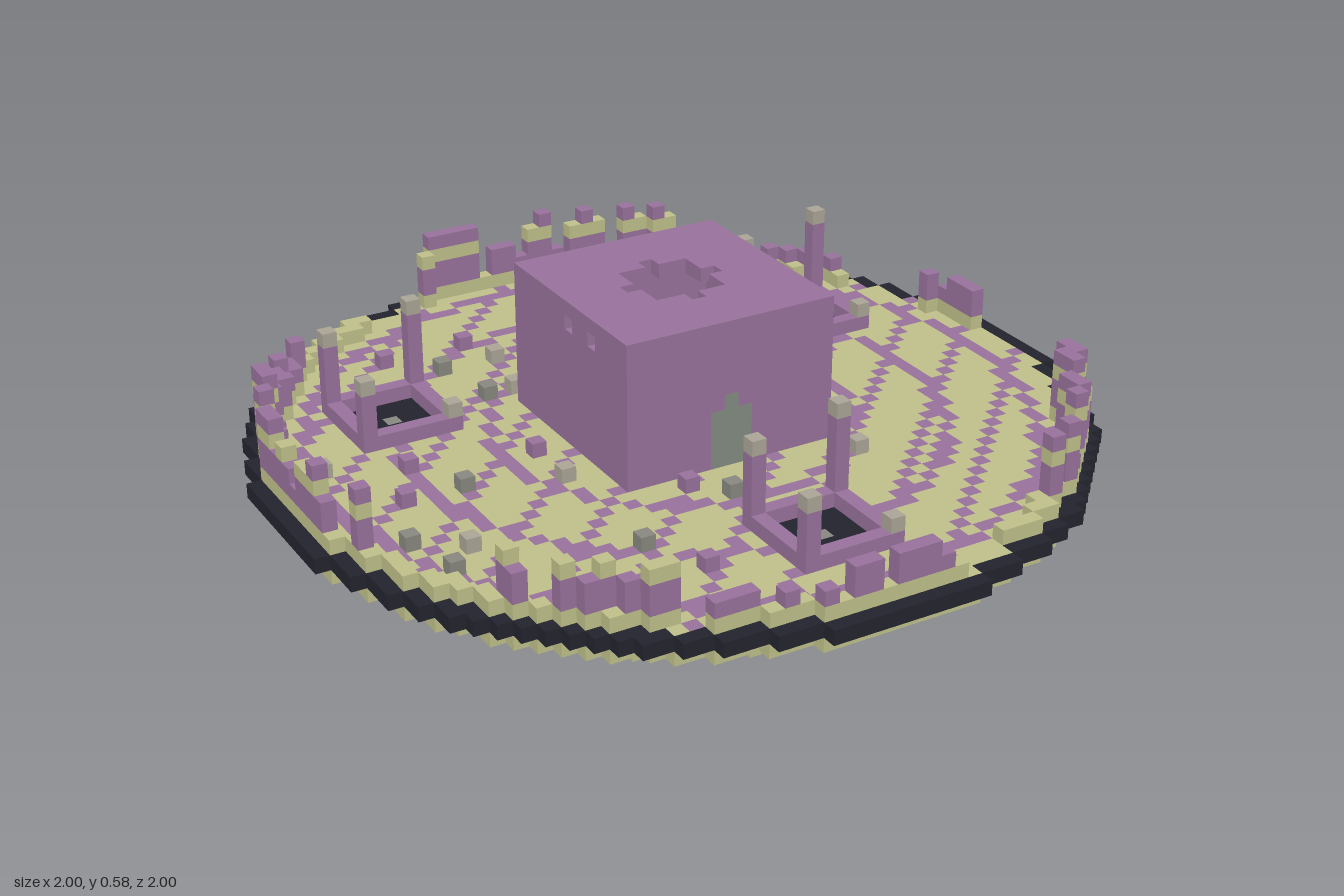
import * as THREE from 'three';

const S = 2 / 55; // size of one block

const material = (name, color) => {
  const m = new THREE.MeshStandardMaterial({ color });
  m.name = name;
  return m;
};

// The six faces of a block: normal and four corners, counter-clockwise from outside
const FACES = [
  [[1, 0, 0], [[1, 0, 1], [1, 0, 0], [1, 1, 0], [1, 1, 1]]],
  [[-1, 0, 0], [[0, 0, 0], [0, 0, 1], [0, 1, 1], [0, 1, 0]]],
  [[0, 1, 0], [[0, 1, 1], [1, 1, 1], [1, 1, 0], [0, 1, 0]]],
  [[0, -1, 0], [[0, 0, 0], [1, 0, 0], [1, 0, 1], [0, 0, 1]]],
  [[0, 0, 1], [[0, 0, 1], [1, 0, 1], [1, 1, 1], [0, 1, 1]]],
  [[0, 0, -1], [[1, 0, 0], [0, 0, 0], [0, 1, 0], [1, 1, 0]]],
];

export function createModel() {
  const mats = {
    sand: material('sandStone', 0xbdbf88),
    purple: material('purpleStone', 0x97709a),
    dark: material('darkStone', 0x22232d),
    pink: material('pinkInlay', 0xb55fae),
    grey: material('greyRubble', 0x87877f),
    tan: material('paleCap', 0xaaa496),
    door: material('doorStone', 0x828a80),
  };
  let seed = 7;
  const random = () => (seed = (seed * 16807) % 2147483647) / 2147483647;

  // Block grid: each cell remembers its part and colour
  const cells = new Map();
  const key = (x, y, z) => `${x},${y},${z}`;
  const put = (x, y, z, part, mat) => cells.set(key(x, y, z), { x, y, z, part, mat });
  const remove = (x, y, z) => cells.delete(key(x, y, z));
  const disc = (r, fn) => {
    const n = Math.floor(r);
    for (let x = -n; x <= n; x++)
      for (let z = -n; z <= n; z++) if (x * x + z * z <= r * r) fn(x, z, Math.hypot(x, z));
  };

  // Stepped bowl under the floor
  for (let y = 0; y < 5; y++) disc(18.5 + 2 * y, (x, z) => put(x, y, z, 'steppedBase', 'sand'));

  // Dark rim and floor with inlaid rings and diagonals
  disc(27.5, (x, z, d) => {
    if (d > 26.5) return put(x, 5, z, 'darkRim', 'dark');
    const ring = [12, 18, 24].some((r) => Math.abs(d - r) < 0.5);
    const diagonal = (((x + z) % 6) + 6) % 6 === 5;
    put(x, 5, z, 'floor', ring || diagonal ? 'purple' : 'sand');
  });

  // Ruined outer wall: [from angle, to angle, tallest height]
  const wall = [[25, 58, 5], [58, 70, 1], [80, 97, 3], [97, 116, 2], [120, 142, 4], [142, 163, 1],
    [163, 206, 5], [206, 225, 3], [225, 245, 1], [255, 300, 5], [315, 330, 2], [345, 357, 3]];
  const courses = ['sand', 'purple', 'purple', 'sand', 'purple'];
  disc(26.5, (x, z, d) => {
    if (d <= 25.5) return;
    const a = ((Math.atan2(z, x) * 180) / Math.PI + 360) % 360;
    const part = wall.find(([from, to]) => a >= from && a < to);
    if (!part) return;
    const h = Math.max(1, part[2] - Math.floor(random() * random() * part[2] * 1.4));
    for (let i = 0; i < h; i++) put(x, 6 + i, z, 'ruinedWall', courses[i]);
  });

  // Hollow central hall with a round roof opening
  for (let x = -7; x <= 7; x++)
    for (let z = -7; z <= 7; z++) {
      put(x, 5, z, 'hallFloor', 'purple');
      for (let y = 6; y <= 15; y++) {
        const side = Math.abs(x) === 7 || Math.abs(z) === 7;
        const roof = y === 15 && x * x + z * z > 9;
        if (side || roof) put(x, y, z, 'hall', 'purple');
      }
    }

  // Inlay on the hall floor
  for (let z = -3; z <= 3; z++) {
    put(0, 5, z, 'floorInlay', 'pink');
    for (const x of [-2, -1, 1, 2])
      if (Math.abs(z) < 3 && (x + z) % 2 === 0) put(x, 5, z, 'floorInlay', 'dark');
  }

  // Side stripe, back studs, doorway and small wall openings
  for (let z = -6; z <= 6; z++) for (const y of [9, 10]) put(7, y, z, 'sideStripe', 'pink');
  for (const [x, y] of [[3, 9], [0, 8], [-5, 9]]) put(x, y, -7, 'backStud', 'pink');
  for (let x = -1; x <= 1; x++)
    for (let y = 6; y <= 10; y++) if (y < 10 || x === 0) put(x, y, 7, 'door', 'door');
  for (const [x, y] of [[5, 14], [2, 14], [-2, 14], [-3, 13], [-5, 13]]) remove(x, y, -7);
  remove(7, 13, -1);
  remove(-7, 14, 0);
  remove(-7, 14, 3);

  // Three framed dark basins with broken corner pillars
  for (const [cx, cz] of [[-16, -9], [16, -9], [0, 18]]) {
    for (let x = -3; x <= 3; x++)
      for (let z = -3; z <= 3; z++) {
        if (Math.max(Math.abs(x), Math.abs(z)) === 3) put(cx + x, 6, cz + z, 'basinFrame', 'purple');
        else put(cx + x, 5, cz + z, 'basin', 'dark');
      }
    put(cx, 5, cz, 'basinCentre', 'grey');
    for (const [x, z, top] of [[3, -3, 12], [-3, -3, 11], [-3, 3, 10], [3, 3, 7]])
      for (let y = 7; y <= top; y++)
        put(cx + x, y, cz + z, 'basinPillar', y === top ? 'tan' : 'purple');
  }

  // Loose rubble
  const rubble = [[5, -22], [12, -21], [8, -16], [8, -11], [3, -14], [-6, -14], [-10, -14], [-7, -17],
    [-7, -9], [-9, -9], [-10, 0], [-10, 4], [-16, 2], [-20, 2], [-19, 9], [-21, 11], [-8, 18],
    [-15, 17], [-2, 11], [-4, 9], [8, 10], [-10, 14], [-18, -2], [-23, -4], [-22, 7], [-13, -17]];
  rubble.forEach(([x, z], i) => put(x, 6, z, 'rubble', ['grey', 'purple', 'tan'][i % 3]));

  // Collect exposed faces for every part and colour
  const batches = new Map();
  for (const { x, y, z, part, mat } of cells.values()) {
    const id = `${part}|${mat}`;
    for (const [n, corners] of FACES) {
      if (cells.has(key(x + n[0], y + n[1], z + n[2]))) continue;
      if (!batches.has(id)) batches.set(id, { part, mat, pos: [], nor: [], idx: [] });
      const b = batches.get(id);
      const o = b.pos.length / 3;
      for (const c of corners) {
        b.pos.push((x + c[0] - 0.5) * S, (y + c[1]) * S, (z + c[2] - 0.5) * S);
        b.nor.push(...n);
      }
      b.idx.push(o, o + 1, o + 2, o, o + 2, o + 3);
    }
  }

  const group = new THREE.Group();
  group.name = 'ruinedIsland';
  for (const { part, mat, pos, nor, idx } of batches.values()) {
    const g = new THREE.BufferGeometry();
    g.setAttribute('position', new THREE.Float32BufferAttribute(pos, 3));
    g.setAttribute('normal', new THREE.Float32BufferAttribute(nor, 3));
    g.setIndex(idx);
    const mesh = new THREE.Mesh(g, mats[mat]);
    mesh.name = part;
    group.add(mesh);
  }
  return group;
}
